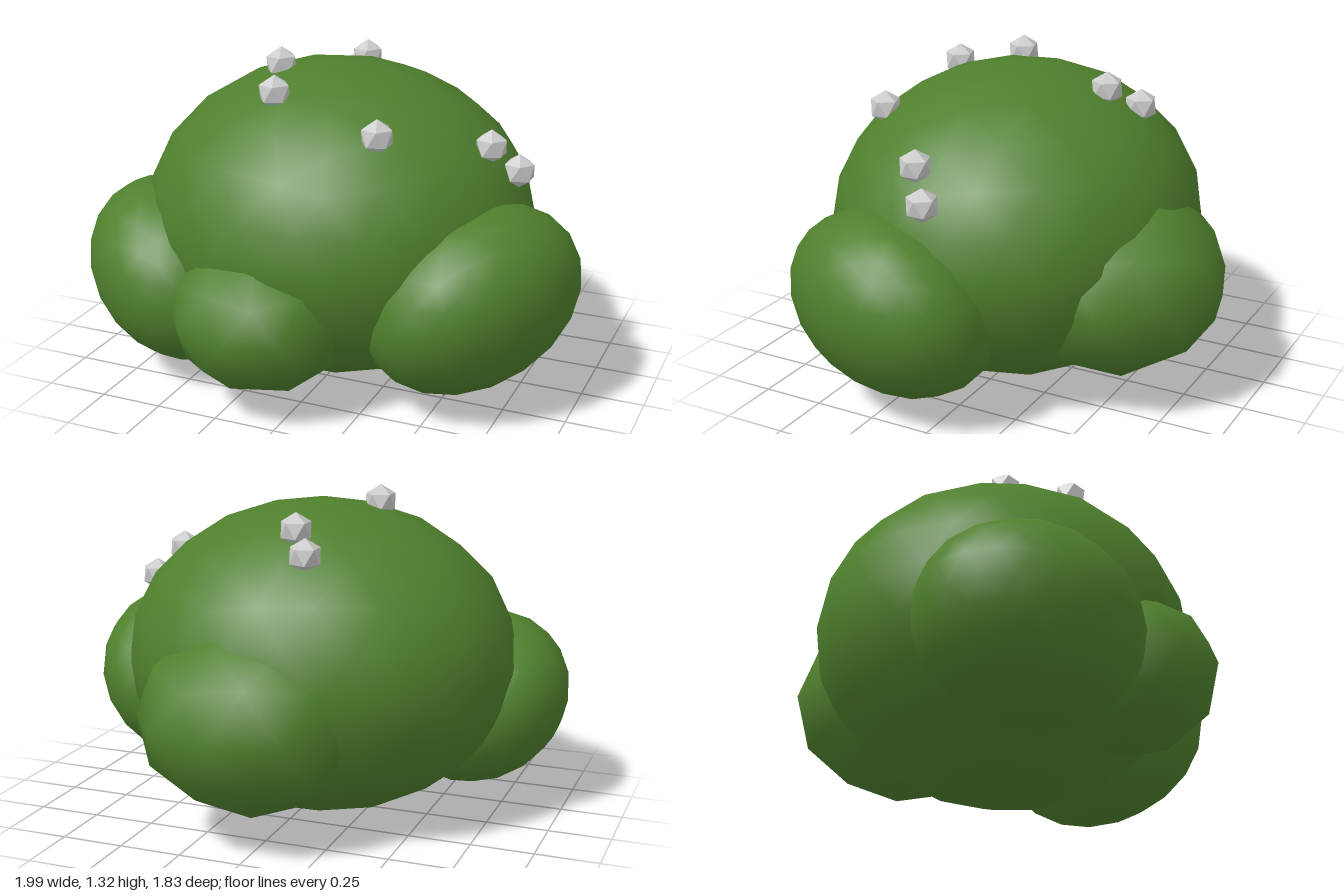
import * as THREE from 'three';

const green = new THREE.MeshStandardMaterial({ color: 0x4f802d });
const grey = new THREE.MeshStandardMaterial({ color: 0xcccccc, flatShading: true });

// Icosphere with a vertex at each pole
function icosphere(detail) {
  return new THREE.IcosahedronGeometry(1, detail).rotateZ(-Math.atan(2 / (1 + Math.sqrt(5))));
}

// Leafy mass: radii plus a lean (xy, xz, yz) that skews the ellipsoid
function clump(name, detail, [x, y, z], [rx, ry, rz], [xy, xz, yz] = [0, 0, 0]) {
  const stretch = new THREE.Matrix4().set(
    rx, xy, xz, x,
    xy, ry, yz, y,
    xz, yz, rz, z,
    0, 0, 0, 1
  );
  const mesh = new THREE.Mesh(icosphere(detail).applyMatrix4(stretch), green);
  mesh.name = name;
  return mesh;
}

export function createModel() {
  const bush = new THREE.Group();
  bush.name = 'bush';

  // Foliage: a large dome with four smaller clumps around it
  bush.add(
    clump('mainFoliage', 3, [-0.035, 0.643, 0.02], [0.797, 0.635, 0.745]),
    clump('leftFoliage', 3, [0.605, 0.45, 0.225], [0.385, 0.383, 0.452], [0.037, -0.04, 0.01]),
    clump('rightFoliage', 3, [-0.615, 0.43, 0.345], [0.382, 0.363, 0.403], [-0.032, 0.034, 0]),
    clump('frontFoliage', 1, [-0.13, 0.4, 0.55], [0.365, 0.305, 0.365]),
    clump('backFoliage', 1, [0.06, 0.5, -0.44], [0.468, 0.39, 0.47])
  );

  // Faceted berries scattered over the dome
  const berries = new THREE.Group();
  berries.name = 'berries';
  const berryGeometry = icosphere(0).scale(0.067, 0.067, 0.067);
  const spots = [
    [-0.25, 1.265, 0.11], [-0.16, 1.22, 0.36], [0.29, 1.12, 0.44],
    [0.62, 1.025, 0.1], [0.71, 0.915, 0.02],
    [-0.07, 1.21, -0.35], [-0.15, 1.135, -0.46],
  ];
  for (const spot of spots) {
    const berry = new THREE.Mesh(berryGeometry, grey);
    berry.name = 'berry';
    berry.position.set(...spot);
    berries.add(berry);
  }
  bush.add(berries);
  return bush;
}
